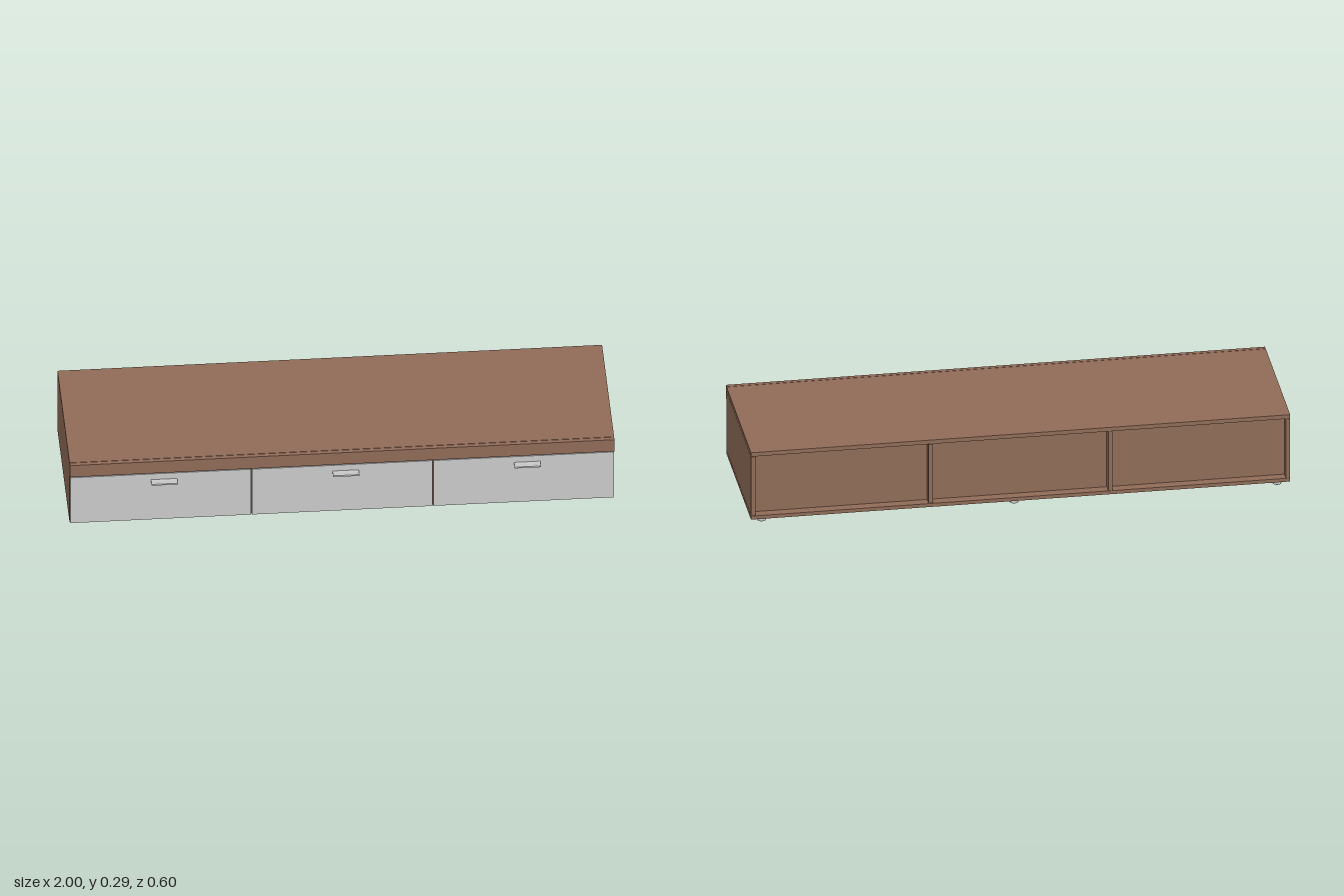
import * as THREE from 'three';

export function createModel() {
  const model = new THREE.Group();
  const wood = new THREE.MeshStandardMaterial({ color: 0x8f6b57 });
  wood.name = 'brown wood';
  const grey = new THREE.MeshStandardMaterial({ color: 0xc8c8c8 });
  grey.name = 'light grey';

  const add = (name, geometry, material, parent = model) => {
    const mesh = new THREE.Mesh(geometry, material);
    mesh.name = name;
    parent.add(mesh);
    return mesh;
  };
  // Box given by its lower and upper limits on each axis
  const box = (name, [x0, x1], [y0, y1], [z0, z1], material, parent) => {
    const g = new THREE.BoxGeometry(x1 - x0, y1 - y0, z1 - z0);
    g.translate((x0 + x1) / 2, (y0 + y1) / 2, (z0 + z1) / 2);
    return add(name, g, material, parent);
  };

  // Carcass: horizontal boards and front rail
  box('topBoard', [-1, 1], [0.272, 0.288], [-0.3, 0.259], wood);
  box('bottomBoard', [-1, 1], [0.016, 0.03], [-0.3, 0.259], wood);
  box('frontRail', [-1, 1], [0.235, 0.288], [0.261, 0.277], wood);

  // Upright boards: two ends and two dividers
  for (const x of [-0.992, -1 / 3, 1 / 3, 0.992]) {
    const name = Math.abs(x) > 0.9 ? 'endPanel' : 'divider';
    box(name, [x - 0.008, x + 0.008], [0.0315, 0.2705], [-0.3, 0.255], wood);
  }

  // Handle profile: flat tab with a slightly thicker lip
  const profile = new THREE.Shape([
    [0, -0.003], [0.008, -0.002], [0.016, -0.002], [0.022, -0.0035], [0.029, -0.003],
    [0.029, 0.003], [0.022, 0.0035], [0.016, 0.002], [0.008, 0.002], [0, 0.003],
  ].map(([z, y]) => new THREE.Vector2(z, y)));
  const handleGeometry = new THREE.ExtrudeGeometry(profile, { depth: 0.096, bevelEnabled: false });
  handleGeometry.translate(0, 0, -0.048).rotateY(-Math.PI / 2);

  // Three bays, each with a recessed back panel and a drawer
  for (const x of [-2 / 3, 0, 2 / 3]) {
    box('backPanel', [x - 0.325, x + 0.325], [0.03, 0.272], [-0.264, -0.26], wood);
    const drawer = new THREE.Group();
    drawer.name = 'drawer';
    drawer.position.x = x;
    model.add(drawer);
    box('drawerFront', [-0.3315, 0.3315], [0.021, 0.229], [0.257, 0.273], grey, drawer);
    for (const s of [-1, 1])
      box('drawerSide', [s * 0.305 - 0.006, s * 0.305 + 0.006], [0.07, 0.17], [-0.22, 0.257], grey, drawer);
    box('drawerBack', [-0.299, 0.299], [0.07, 0.17], [-0.22, -0.208], grey, drawer);
    box('drawerBase', [-0.299, 0.299], [0.07, 0.076], [-0.208, 0.257], grey, drawer);
    add('handle', handleGeometry, grey, drawer).position.set(0.013, 0.2, 0.273);
  }

  // Six round feet with softened rims
  const footGeometry = new THREE.LatheGeometry([
    [0, 0], [0.0145, 0], [0.0162, 0.001], [0.017, 0.003],
    [0.017, 0.012], [0.0162, 0.014], [0.0145, 0.016], [0, 0.016],
  ].map(([r, y]) => new THREE.Vector2(r, y)), 28);
  for (const x of [-0.955, 0.02, 0.957])
    for (const z of [0.227, -0.273])
      add('foot', footGeometry, grey).position.set(x, 0, z);

  return model;
}
